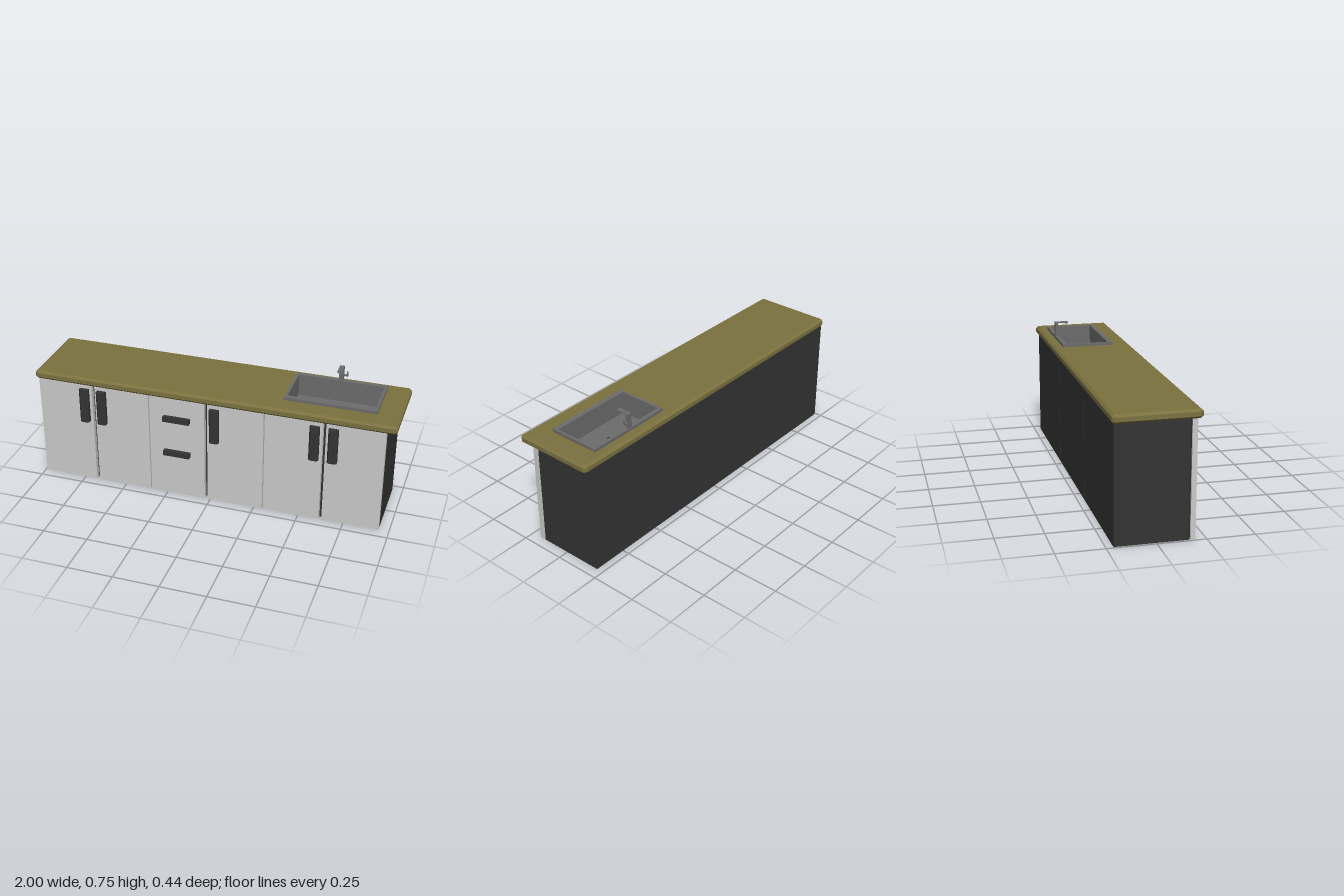
import * as THREE from 'three';

const mat = (color) => new THREE.MeshStandardMaterial({ color, flatShading: true });

export function createModel() {
  const model = new THREE.Group();
  const dark = mat(0x343434), door = mat(0xcccccc), wood = mat(0x7c7240);
  const steel = mat(0x6c6c6c), black = mat(0x111111);

  const add = (name, geometry, material) => {
    const mesh = new THREE.Mesh(geometry, material);
    mesh.name = name;
    model.add(mesh);
    return mesh;
  };

  // Box given by its limits on each axis
  const box = (name, material, [x0, x1], [y0, y1], [z0, z1]) => {
    const g = new THREE.BoxGeometry(x1 - x0, y1 - y0, z1 - z0);
    g.translate((x0 + x1) / 2, (y0 + y1) / 2, (z0 + z1) / 2);
    return add(name, g, material);
  };

  // Plan outline with optional chamfers on the front and back corners
  const outline = ([x0, x1], [z0, z1], front = 0, back = 0) => {
    const pts = [];
    const corner = (x, z, sx, sz, c, swap) => {
      if (!c) return pts.push(new THREE.Vector2(x, -z));
      const pair = [new THREE.Vector2(x + sx * c, -z), new THREE.Vector2(x, -(z + sz * c))];
      pts.push(...(swap ? pair.reverse() : pair));
    };
    corner(x0, z1, 1, -1, front, true);
    corner(x1, z1, -1, -1, front, false);
    corner(x1, z0, -1, 1, back, true);
    corner(x0, z0, 1, 1, back, false);
    return pts;
  };

  // Upright extrusion of a plan outline, with an optional opening and bevel
  const slab = (name, material, pts, [y0, y1], hole, bevel = 0) => {
    const shape = new THREE.Shape(pts);
    if (hole) shape.holes.push(new THREE.Path(hole));
    const g = new THREE.ExtrudeGeometry(shape, {
      depth: y1 - y0 - 2 * bevel, bevelEnabled: bevel > 0, bevelThickness: bevel,
      bevelSize: bevel, bevelOffset: -bevel, bevelSegments: 1,
    });
    g.rotateX(-Math.PI / 2).translate(0, y0 + bevel, 0);
    return add(name, g, material);
  };

  // Three cabinets, each an open-topped carcass with two front panels
  const unitWidth = 0.641, pitch = 0.647, gap = 0.008;
  for (let i = 0; i < 3; i++) {
    const x0 = -0.991 + i * pitch, x1 = x0 + unitWidth, mid = (x0 + x1) / 2;
    slab('carcass', dark, outline([x0, x1], [-0.213, 0.169], 0.01), [0.001, 0.611],
      outline([x0 + 0.012, x1 - 0.012], [-0.2, 0.15]));
    box('carcassFloor', dark, [x0 + 0.006, x1 - 0.006], [0.002, 0.014], [-0.207, 0.157]);
    box('leftPanel', door, [mid + gap, x1], [0, 0.611], [0.169, 0.195]);
    box('rightPanel', door, [x0, mid - gap], [0, 0.611], [0.169, 0.195]);

    // Upright door handles; the middle cabinet has drawer pulls on one panel
    const sides = i === 1 ? [1] : [-1, 1];
    for (const s of sides) {
      const c = mid + s * 0.05;
      slab('doorHandle', dark, outline([c - 0.026, c + 0.026], [0.194, 0.222], 0.008), [0.38, 0.579]);
    }
    if (i === 1) {
      for (const y of [0.254, 0.466]) {
        box('drawerHandle', dark, [-0.262, -0.113], [y, y + 0.029], [0.194, 0.221]);
      }
    }
  }

  // Countertop with chamfered edges and an opening for the sink
  slab('countertop', wood, outline([-1, 1], [-0.222, 0.222], 0.012, 0.012), [0.61, 0.657],
    outline([0.394, 0.863], [-0.158, 0.104]), 0.012);

  // Sink: raised rim and walls in one ring, then the floor and drain
  slab('sinkBasin', steel, outline([0.38, 0.877], [-0.172, 0.118]), [0.54, 0.673],
    outline([0.395, 0.862], [-0.15, 0.092]));
  box('sinkFloor', steel, [0.388, 0.87], [0.54, 0.55], [-0.16, 0.105]);
  const drain = new THREE.CylinderGeometry(0.015, 0.015, 0.004, 20);
  drain.translate(0.626, 0.551, -0.03);
  add('drain', drain, black);

  // Tap: square post, flat spout, outlet and side lever
  box('tapPost', steel, [0.613, 0.638], [0.67, 0.755], [-0.171, -0.155]);
  box('tapSpout', steel, [0.613, 0.638], [0.749, 0.755], [-0.156, -0.094]);
  const outlet = new THREE.CylinderGeometry(0.008, 0.008, 0.005, 12);
  outlet.translate(0.6255, 0.747, -0.103);
  add('tapOutlet', outlet, steel);
  const stem = new THREE.CylinderGeometry(0.006, 0.006, 0.022, 10);
  stem.rotateZ(Math.PI / 2).translate(0.648, 0.705, -0.163);
  add('leverStem', stem, steel);
  box('lever', steel, [0.653, 0.661], [0.699, 0.727], [-0.167, -0.159]);

  return model;
}
